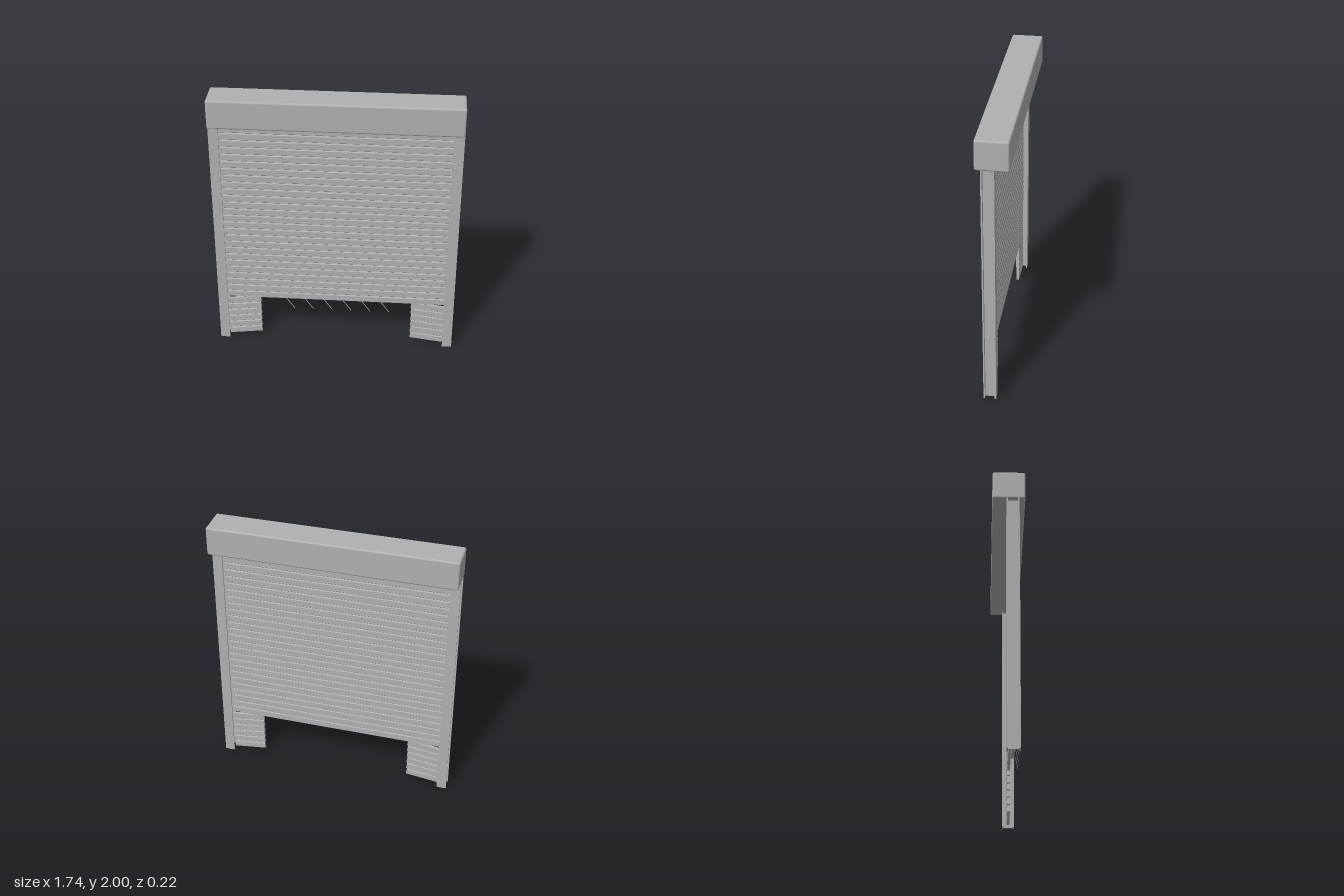
import * as THREE from 'three';
import { RoundedBoxGeometry } from 'three/addons/geometries/RoundedBoxGeometry.js';

export function createModel() {
  const model = new THREE.Group();
  model.name = 'rollerShutter';
  const metal = new THREE.MeshStandardMaterial({ color: 0xb0b0b0 });
  metal.name = 'grey metal';

  const add = (geometry, name, x, y, z, parent = model) => {
    const mesh = new THREE.Mesh(geometry, metal);
    mesh.name = name;
    mesh.position.set(x, y, z);
    parent.add(mesh);
    return mesh;
  };

  const pitch = 0.0549, slatHeight = 0.05, curtainZ = 0.027;

  // Slat: chamfered cross-section (z, y) extruded along x and centred
  const slatGeometry = (length) => {
    const h = slatHeight / 2, t = 0.01, c = 0.004;
    const shape = new THREE.Shape([
      [-t + c, -h], [t - c, -h], [t, -h + c], [t, h - c],
      [t - c, h], [-t + c, h], [-t, h - c], [-t, -h + c],
    ].map(([a, b]) => new THREE.Vector2(a, b)));
    return new THREE.ExtrudeGeometry(shape, { depth: length, bevelEnabled: false })
      .translate(0, 0, -length / 2)
      .rotateY(Math.PI / 2);
  };

  // Housing for the rolled curtain
  add(new RoundedBoxGeometry(1.74, 0.21, 0.224, 3, 0.014), 'housing', 0, 1.895, 0);

  // Guide rails: two flanges joined by a web, open on both sides
  for (const side of [-1, 1]) {
    const rail = new THREE.Group();
    rail.name = side > 0 ? 'leftRail' : 'rightRail';
    const flange = new THREE.BoxGeometry(0.07, 1.795, 0.01);
    add(flange, 'frontFlange', side * 0.835, 0.8975, 0.067, rail);
    add(flange, 'backFlange', side * 0.835, 0.8975, -0.012, rail);
    add(new THREE.BoxGeometry(0.01, 1.795, 0.07), 'web', side * 0.835, 0.8975, curtainZ, rail);
    model.add(rail);
  }

  // Main curtain
  const curtain = new THREE.Group();
  curtain.name = 'curtain';
  const longSlat = slatGeometry(1.596);
  for (let i = 0; i < 26; i++) {
    add(longSlat, 'slat', 0, 0.355 + slatHeight / 2 + i * pitch, curtainZ, curtain);
  }
  model.add(curtain);

  // Broken slat stubs, tilted up towards the opening
  const stubSlat = slatGeometry(0.245);
  for (const side of [-1, 1]) {
    const stubs = new THREE.Group();
    stubs.name = side > 0 ? 'leftStubs' : 'rightStubs';
    for (let i = 0; i < 6; i++) {
      const stub = add(stubSlat, 'stubSlat', side * 0.68, 0.052 + i * pitch, curtainZ, stubs);
      stub.rotation.z = -side * 0.125;
    }
    model.add(stubs);
  }

  // Loose wires hanging at the torn edge
  const wires = new THREE.Group();
  wires.name = 'wires';
  const wireDirection = new THREE.Vector3(0.062, -0.069, 0.023);
  const wireGeometry = new THREE.CylinderGeometry(0.0025, 0.0025, wireDirection.length(), 8);
  for (let i = 0; i < 6; i++) {
    const wire = add(wireGeometry, 'wire', -0.331 + i * 0.1392, 0.348, 0.08, wires);
    wire.quaternion.setFromUnitVectors(new THREE.Vector3(0, 1, 0), wireDirection.clone().normalize());
  }
  model.add(wires);

  return model;
}
